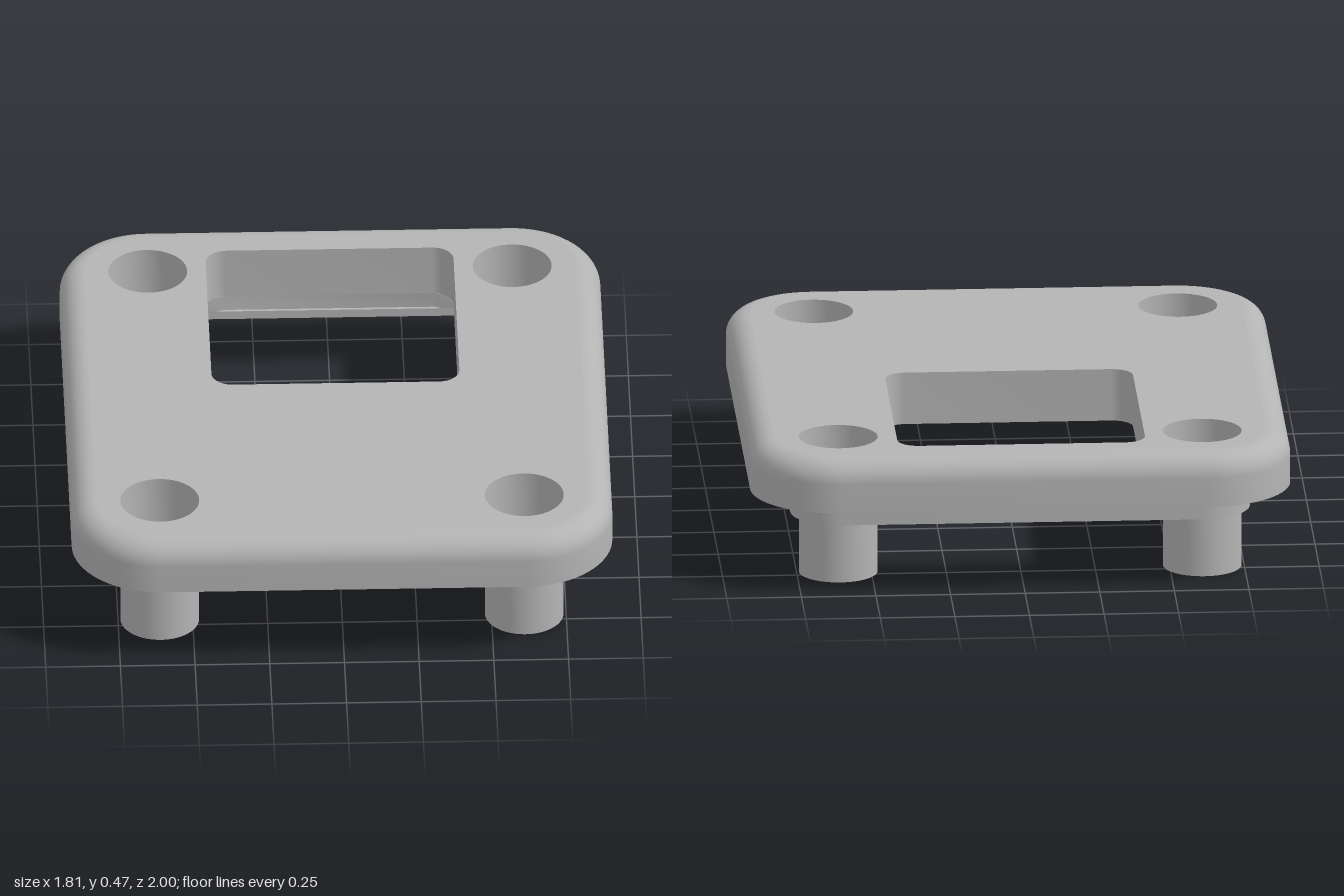
import * as THREE from 'three';
import { toCreasedNormals } from 'three/addons/utils/BufferGeometryUtils.js';

const BOTTOM = 0.29, TOP = 0.47, FILLET = 0.08;
const POST_X = 0.61, POST_Z = 0.71, POST_R = 0.132, BORE_R = 0.07;

// Rounded rectangle as a counter-clockwise loop (shape y is -z)
function roundedLoop(cx, cy, halfW, halfH, r, n = 16) {
  const pts = [];
  [[1, 1], [-1, 1], [-1, -1], [1, -1]].forEach(([sx, sy], k) => {
    for (let i = 0; i <= n; i++) {
      const a = (k + i / n) * Math.PI / 2;
      pts.push(new THREE.Vector2(
        cx + sx * (halfW - r) + r * Math.cos(a),
        cy + sy * (halfH - r) + r * Math.sin(a)));
    }
  });
  return pts;
}

const plateLoop = inset => roundedLoop(0, 0, 0.905 - inset, 1 - inset, 0.295 - inset);

// Extrude a plan shape upward between two heights
function slab(shape, y0, y1) {
  const g = new THREE.ExtrudeGeometry(shape, { depth: y1 - y0, bevelEnabled: false, curveSegments: 32 });
  g.rotateX(-Math.PI / 2).translate(0, y0, 0);
  return toCreasedNormals(g, 0.5);
}

// Outer band of the plate: flat underside, upright wall, rounded top edge
function rimGeometry() {
  const profile = [[FILLET, BOTTOM], [0, BOTTOM]];
  for (let i = 0; i <= 10; i++) {
    const a = i / 10 * Math.PI / 2;
    profile.push([FILLET * (1 - Math.cos(a)), TOP - FILLET + FILLET * Math.sin(a)]);
  }
  const pos = [], index = [];
  let n = 0;
  profile.forEach(([inset, y]) => {
    const loop = plateLoop(inset);
    n = loop.length;
    loop.forEach(p => pos.push(p.x, y, -p.y));
  });
  for (let j = 0; j < profile.length - 1; j++) {
    for (let i = 0; i < n; i++) {
      const a = j * n + i, b = j * n + (i + 1) % n;
      index.push(a, b, b + n, a, b + n, a + n);
    }
  }
  const g = new THREE.BufferGeometry();
  g.setAttribute('position', new THREE.Float32BufferAttribute(pos, 3));
  g.setIndex(index);
  return toCreasedNormals(g, 0.5);
}

// U-shaped locating rail, optionally notched where the window cuts into it
function railShape(notched) {
  const s = new THREE.Shape(), cx = 0.605, cy = 0.695, q = Math.PI / 2;
  s.moveTo(0.77, -0.35);
  s.absarc(cx, cy, 0.165, 0, q);
  s.absarc(-cx, cy, 0.165, q, 2 * q);
  s.lineTo(-0.77, -0.35);
  s.lineTo(-0.73, -0.35);
  s.absarc(-cx, cy, 0.125, 2 * q, q, true);
  if (notched) [[-0.38, 0.82], [-0.35, 0.83], [0.35, 0.83], [0.38, 0.82]].forEach(p => s.lineTo(...p));
  s.absarc(cx, cy, 0.125, q, 0, true);
  s.lineTo(0.73, -0.35);
  s.closePath();
  return s;
}

export function createModel() {
  const group = new THREE.Group();
  const grey = new THREE.MeshStandardMaterial({ color: 0xb4b4b4 });
  grey.name = 'grey';
  const add = (name, geometry) => {
    const mesh = new THREE.Mesh(geometry, grey);
    mesh.name = name;
    group.add(mesh);
    return mesh;
  };

  const corners = [[1, 1], [-1, 1], [-1, -1], [1, -1]];

  // Plate with window and four screw wells
  const plate = new THREE.Shape(plateLoop(FILLET));
  plate.holes.push(new THREE.Path(roundedLoop(0, 0.415, 0.415, 0.415, 0.07, 10)));
  corners.forEach(([sx, sz]) => {
    const well = new THREE.Path();
    well.absarc(sx * POST_X, sz * POST_Z, POST_R, 0, Math.PI * 2);
    plate.holes.push(well);
  });
  add('plate', slab(plate, BOTTOM, TOP));
  add('plateRim', rimGeometry());

  // Rail under the plate
  add('railLower', slab(railShape(false), 0.205, 0.235));
  add('railUpper', slab(railShape(true), 0.235, BOTTOM));

  // Hollow posts, whose tops form the well floors
  const ring = new THREE.Shape().absarc(0, 0, POST_R, 0, Math.PI * 2);
  ring.holes.push(new THREE.Path().absarc(0, 0, BORE_R, 0, Math.PI * 2));
  const postGeometry = slab(ring, 0, BOTTOM);
  corners.forEach(([sx, sz]) => {
    const name = (sz > 0 ? 'front' : 'back') + (sx > 0 ? 'Left' : 'Right') + 'Post';
    add(name, postGeometry).position.set(sx * POST_X, 0, sz * POST_Z);
  });

  return group;
}
